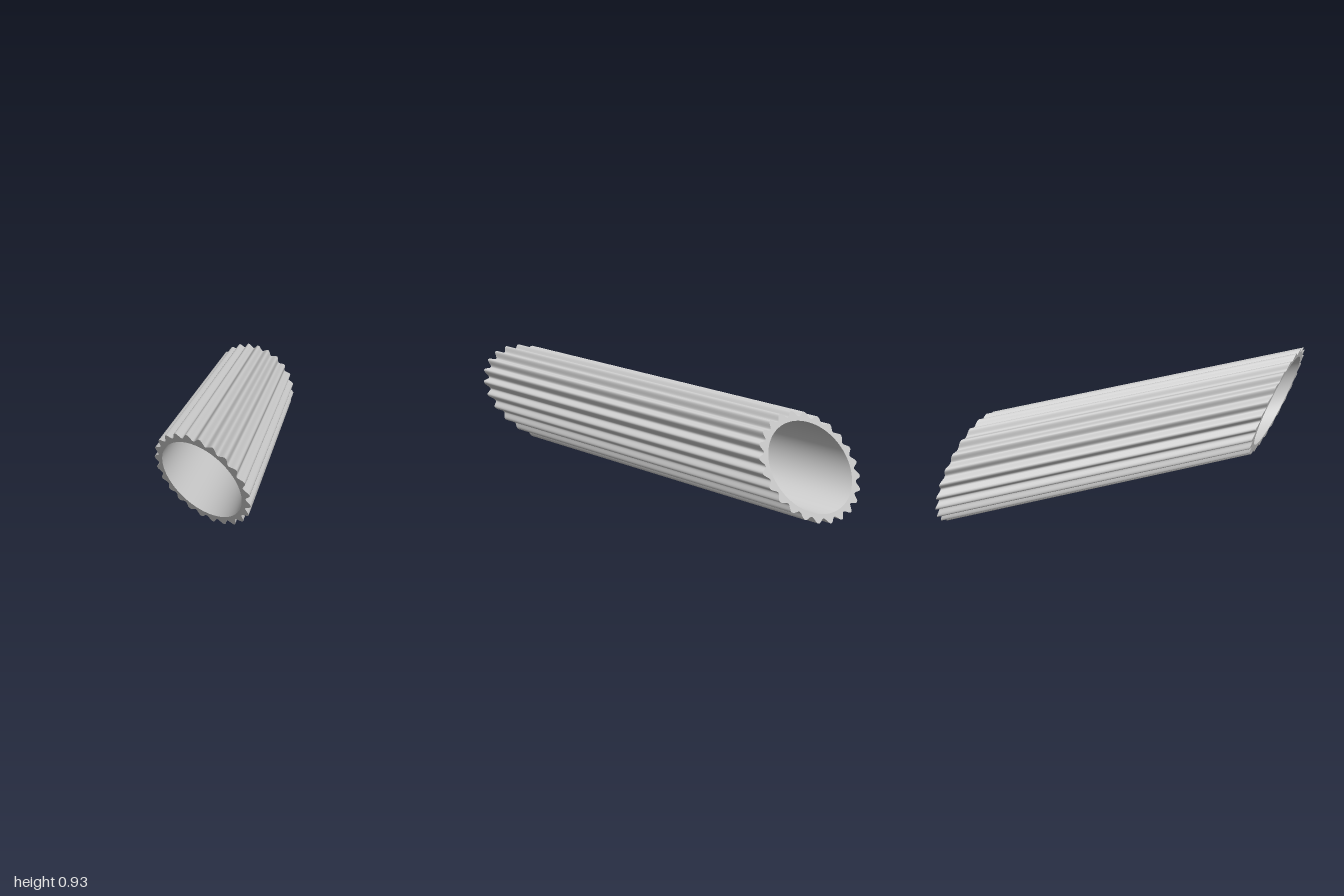
import * as THREE from 'three';

const RIDGES = 24, STEPS = 12, N = RIDGES * STEPS;
const OUTER = 0.271, WAVE = 0.014, INNER = 0.235;

// Tube axis and the two axes of its round cross-section
const axis = new THREE.Vector3(0.371, 0.179, 1).normalize();
const up = new THREE.Vector3(0, 1, 0).addScaledVector(axis, -axis.y).normalize();
const side = new THREE.Vector3().crossVectors(up, axis);
const phase = THREE.MathUtils.degToRad(84);

const ridged = (t) => OUTER + WAVE * Math.cos(RIDGES * t);
const round = () => INNER;

// Slanted end cuts: centre and plane normal
const front = { centre: new THREE.Vector3(0.317, 0.618, 0.855), normal: new THREE.Vector3(-0.24, -0.33, 1) };
const back = { centre: new THREE.Vector3(-0.328, 0.305, -0.892), normal: new THREE.Vector3(-0.17, -0.27, 1) };

// Cross-section loop slid along the axis onto a cut plane
function loop(cut, radius) {
  return Array.from({ length: N }, (_, i) => {
    const t = (i / N) * Math.PI * 2;
    const r = radius(t);
    const p = new THREE.Vector3()
      .addScaledVector(side, r * Math.cos(t + phase))
      .addScaledVector(up, r * Math.sin(t + phase));
    p.addScaledVector(axis, -p.dot(cut.normal) / axis.dot(cut.normal));
    return p.add(cut.centre);
  });
}

// Closed band of quads between two loops
function band(name, a, b, material) {
  const geometry = new THREE.BufferGeometry().setFromPoints([...a, ...b]);
  const index = [];
  for (let i = 0; i < N; i++) {
    const j = (i + 1) % N;
    index.push(i, j, N + j, i, N + j, N + i);
  }
  geometry.setIndex(index);
  geometry.computeVertexNormals();
  const mesh = new THREE.Mesh(geometry, material);
  mesh.name = name;
  return mesh;
}

export function createModel() {
  const group = new THREE.Group();
  group.name = 'ridgedTube';
  const material = new THREE.MeshStandardMaterial({ color: 0xcccccc });
  const frontOuter = loop(front, ridged), frontInner = loop(front, round);
  const backOuter = loop(back, ridged), backInner = loop(back, round);
  group.add(
    band('ridgedOuterWall', backOuter, frontOuter, material),
    band('smoothInnerWall', frontInner, backInner, material),
    band('frontRim', frontOuter, frontInner, material),
    band('backRim', backInner, backOuter, material),
  );
  return group;
}
